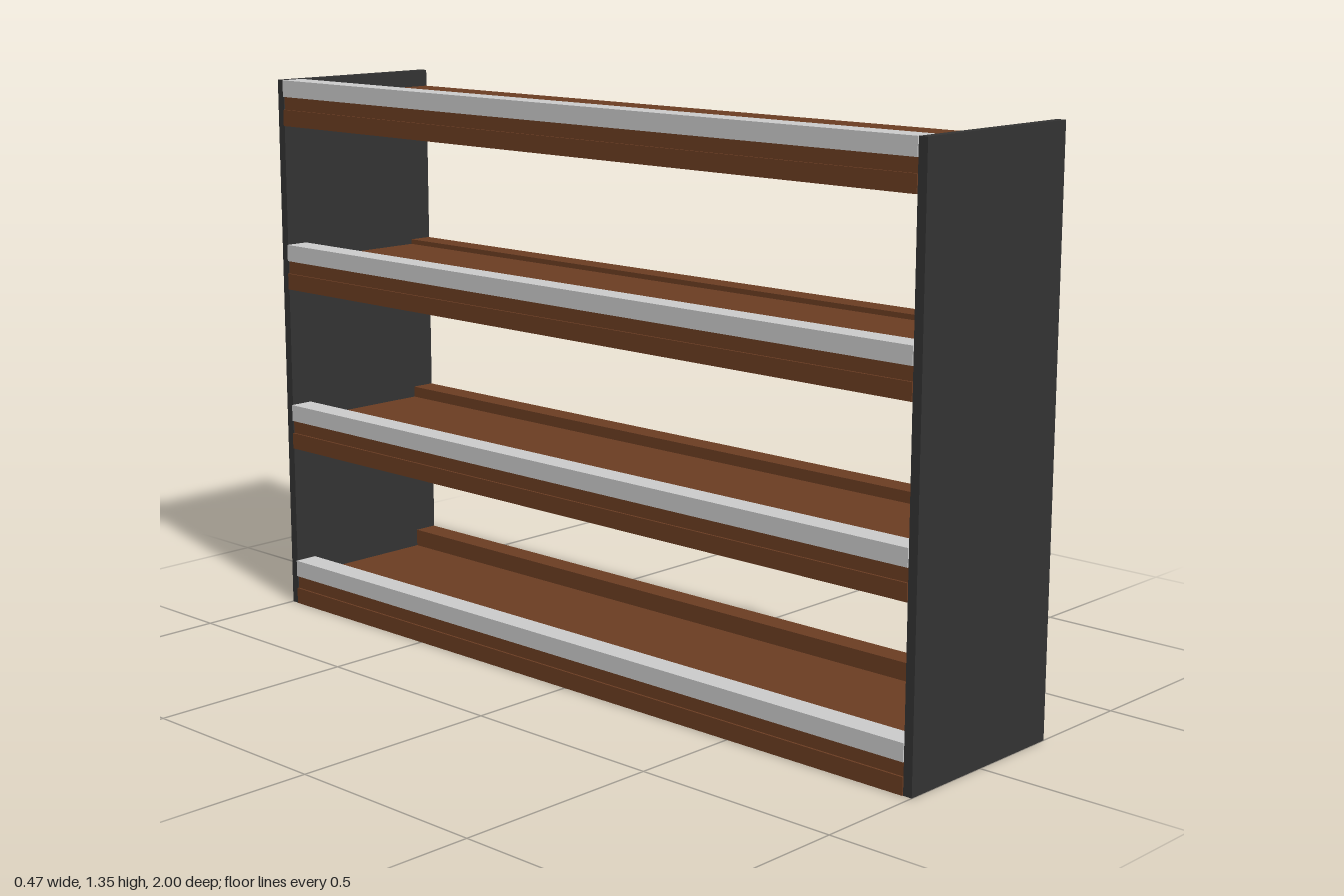
import * as THREE from 'three';

const brown = new THREE.MeshStandardMaterial({ color: 0x6b3d22 });
const dark = new THREE.MeshStandardMaterial({ color: 0x333333 });
const grey = new THREE.MeshStandardMaterial({ color: 0xcccccc });

// Box given by its minimum and maximum on each axis
function slab(name, material, [x0, x1], [y0, y1], [z0, z1]) {
  const mesh = new THREE.Mesh(new THREE.BoxGeometry(x1 - x0, y1 - y0, z1 - z0), material);
  mesh.position.set((x0 + x1) / 2, (y0 + y1) / 2, (z0 + z1) / 2);
  mesh.name = name;
  return mesh;
}

const FRONT = 0.233, BACK = -0.238, BATTEN = 0.06;
const INNER = 0.978; // inner face of the end panels
const SPAN = [-INNER, INNER];
const BOARD_BOTTOM = 0.04, BOARD_TOP = 0.072, RAIL_TOP = 0.113;

function createShelf(y, lipTop) {
  const shelf = new THREE.Group();
  shelf.name = 'shelf';
  shelf.position.y = y;
  const frontX = [FRONT - BATTEN, FRONT];
  const backX = [BACK, BACK + BATTEN];
  shelf.add(
    slab('shelfBoard', brown, [-0.233, FRONT - BATTEN], [BOARD_BOTTOM, BOARD_TOP], SPAN),
    slab('shelfLip', brown, frontX, [BOARD_BOTTOM, lipTop], SPAN),
    slab('frontBatten', brown, frontX, [0, BOARD_BOTTOM], SPAN),
    slab('backBatten', brown, backX, [0, BOARD_BOTTOM], SPAN),
    slab('backRail', grey, backX, [BOARD_TOP, RAIL_TOP], SPAN),
  );
  return shelf;
}

export function createModel() {
  const model = new THREE.Group();
  model.name = 'shelvingUnit';

  // End panels
  for (const s of [-1, 1]) {
    const z = s < 0 ? [-1, -INNER] : [INNER, 1];
    model.add(slab('endPanel', dark, [-0.235, 0.235], [0, 1.345], z));
  }

  // Shelves, the lip getting lower towards the top
  const lipTops = [0.115, 0.099, 0.084, BOARD_TOP];
  lipTops.forEach((lipTop, i) => model.add(createShelf(i * 0.4107 + (i ? 0 : 0.0005), lipTop)));
  return model;
}
